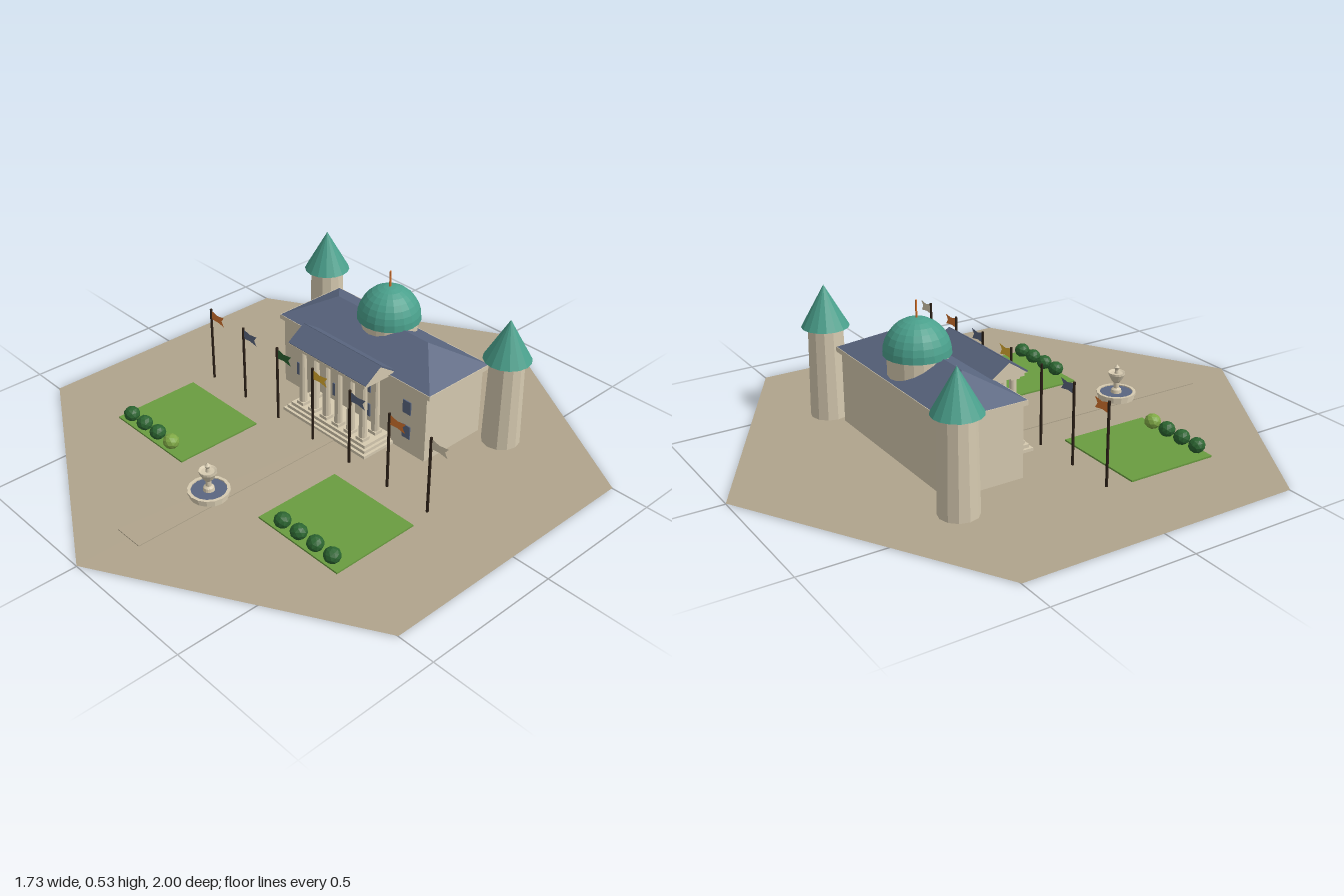
import * as THREE from 'three';
import { ConvexGeometry } from 'three/addons/geometries/ConvexGeometry.js';

export function createModel() {
  const root = new THREE.Group();
  root.name = 'palace';
  const mat = (name, color, opts = {}) =>
    new THREE.MeshStandardMaterial({ name, color, flatShading: true, ...opts });
  const both = { side: THREE.DoubleSide };
  const paving = mat('paving', 0xb0a48c, both);
  const stone = mat('stone', 0xd6cab0, both);
  const copper = mat('copper', 0x4aa08c);
  const slate = mat('slate', 0x5a6680, both);
  const grass = mat('grass', 0x6a9c40);
  const hedge = mat('hedge', 0x2b6430);
  const lightLeaf = mat('lightLeaf', 0x7fa845);
  const orange = mat('orange', 0xd8752e, both);
  const gold = mat('gold', 0xe0b030, both);
  const darkWood = mat('darkWood', 0x2e2218);

  const add = (name, geo, material, x = 0, y = 0, z = 0, parent = root) => {
    const m = new THREE.Mesh(geo, material);
    m.name = name;
    m.position.set(x, y, z);
    parent.add(m);
    return m;
  };
  // box spanning y0..y1 and z0..z1, centred on x
  const slab = (name, material, x, w, y0, y1, z0, z1, parent = root) =>
    add(name, new THREE.BoxGeometry(w, y1 - y0, z1 - z0), material, x, (y0 + y1) / 2, (z0 + z1) / 2, parent);
  // cylinder or cone standing on y0
  const post = (name, material, rTop, rBottom, x, y0, y1, z, sides = 12, parent = root) =>
    add(name, new THREE.CylinderGeometry(rTop, rBottom, y1 - y0, sides), material, x, (y0 + y1) / 2, z, parent);
  const hull = pts => new ConvexGeometry(pts.map(p => new THREE.Vector3(...p)));
  const group = name => {
    const g = new THREE.Group();
    g.name = name;
    root.add(g);
    return g;
  };

  // Grounds
  const hex = new THREE.CircleGeometry(1, 6, Math.PI / 2);
  hex.rotateX(-Math.PI / 2);
  add('plaza', hex, paving, 0, 0.002, 0);
  slab('path', paving, 0, 0.11, 0, 0.005, -0.1, 0.81);
  for (const s of [-1, 1]) slab('lawn', grass, s * 0.38, 0.36, 0, 0.008, 0.12, 0.45);

  // Main hall with hipped roof
  const hall = group('hall');
  slab('walls', stone, 0, 0.7, 0.003, 0.262, -0.425, -0.15, hall);
  slab('cornice', stone, 0, 0.735, 0.258, 0.275, -0.437, -0.143, hall);
  const roof = [];
  for (const s of [-1, 1]) {
    roof.push([s * 0.365, 0.275, -0.435], [s * 0.365, 0.275, -0.145], [s * 0.217, 0.355, -0.29]);
  }
  add('hipRoof', hull(roof), slate, 0, 0, 0, hall);
  for (const x of [-0.265, -0.075, 0.075, 0.265])
    for (const y of [0.06, 0.158])
      slab('window', slate, x, 0.036, y, y + 0.05, -0.151, -0.146, hall);

  // Dome on a low drum
  const dome = group('dome');
  post('drum', stone, 0.1, 0.1, 0, 0.27, 0.352, -0.325, 20, dome);
  const shell = add('domeShell', new THREE.SphereGeometry(0.113, 20, 8, 0, Math.PI * 2, 0, Math.PI / 2),
    copper, 0, 0.35, -0.325, dome);
  shell.scale.y = 1.06;
  const under = new THREE.CircleGeometry(0.113, 20);
  under.rotateX(Math.PI / 2);
  add('domeUnderside', under, copper, 0, 0.35, -0.325, dome);
  post('spire', orange, 0.003, 0.004, 0, 0.465, 0.528, -0.325, 6, dome);

  // Rear corner towers
  for (const s of [-1, 1]) {
    const tower = group(s > 0 ? 'leftTower' : 'rightTower');
    post('shaft', stone, 0.06, 0.067, s * 0.438, 0.003, 0.335, -0.44, 12, tower);
    post('coneRoof', copper, 0, 0.083, s * 0.438, 0.33, 0.478, -0.44, 16, tower);
  }

  // Portico: steps, columns, beam and gabled roof with its ridge along x
  const portico = group('portico');
  [[0.41, 0.003, 0.014, -0.012], [0.39, 0.014, 0.026, -0.022], [0.37, 0.026, 0.038, -0.032]]
    .forEach(([w, y0, y1, z]) => slab('step', stone, 0, w, y0, y1, -0.15, z, portico));
  const column = (x, z) => {
    slab('columnBase', stone, x, 0.034, 0.038, 0.05, z - 0.017, z + 0.017, portico);
    post('column', stone, 0.012, 0.015, x, 0.05, 0.254, z, 10, portico);
    slab('capital', stone, x, 0.034, 0.254, 0.266, z - 0.017, z + 0.017, portico);
  };
  for (let i = 0; i < 6; i++) column(-0.15 + i * 0.06, -0.058);
  for (const s of [-1, 1]) column(s * 0.15, -0.118);
  slab('beam', stone, 0, 0.36, 0.266, 0.286, -0.165, -0.032, portico);
  const gable = [];
  for (const x of [-0.189, 0.189]) gable.push([x, 0.28, -0.165], [x, 0.28, -0.027], [x, 0.327, -0.096]);
  add('gable', hull(gable), stone, 0, 0, 0, portico);
  for (const s of [-1, 1]) {
    const slope = add('porticoRoof', new THREE.BoxGeometry(0.376, 0.006, 0.085), slate,
      0, 0.307, -0.096 + s * 0.035, portico);
    slope.rotation.x = s * Math.atan2(0.047, 0.069);
  }

  // Row of flags
  const flagShape = new THREE.Shape([[0, 0.288], [0.035, 0.279], [0.072, 0.284], [0.058, 0.266],
    [0.07, 0.247], [0.035, 0.253], [0, 0.25]].map(p => new THREE.Vector2(...p)));
  const flagGeo = new THREE.ShapeGeometry(flagShape);
  [orange, slate, hedge, gold, slate, orange, stone].forEach((m, i) => {
    const x = -0.54 + i * 0.18;
    const g = group('flagpole');
    post('pole', darkWood, 0.005, 0.005, x, 0.003, 0.292, 0.035, 6, g);
    add('flag', flagGeo, m, x, 0, 0.035, g);
  });

  // Round bushes along the lawn fronts
  for (const s of [-1, 1])
    for (let i = 0; i < 4; i++) {
      const bush = add('bush', new THREE.IcosahedronGeometry(0.029, 1),
        s < 0 && i === 0 ? lightLeaf : hedge, s * (0.287 + i * 0.0755), 0.033, 0.425);
      bush.rotation.y = i * 1.3 + s;
      bush.scale.y = 0.92;
    }

  // Fountain
  const fountain = group('fountain');
  const lathe = pts => new THREE.LatheGeometry(pts.map(p => new THREE.Vector2(...p)), 16);
  add('basin', lathe([[0.066, 0.003], [0.066, 0.018], [0.071, 0.02], [0.071, 0.028], [0.06, 0.028], [0.06, 0.01]]),
    stone, 0, 0, 0.49, fountain);
  post('water', slate, 0.061, 0.061, 0, 0.005, 0.024, 0.49, 16, fountain);
  add('bowl', lathe([[0.02, 0.024], [0.018, 0.036], [0.01, 0.042], [0.01, 0.062], [0.018, 0.07],
    [0.03, 0.094], [0.03, 0.102], [0.022, 0.098], [0.008, 0.097], [0.006, 0.11], [0.01, 0.12], [0, 0.131]]),
    stone, 0, 0, 0.49, fountain);

  return root;
}
